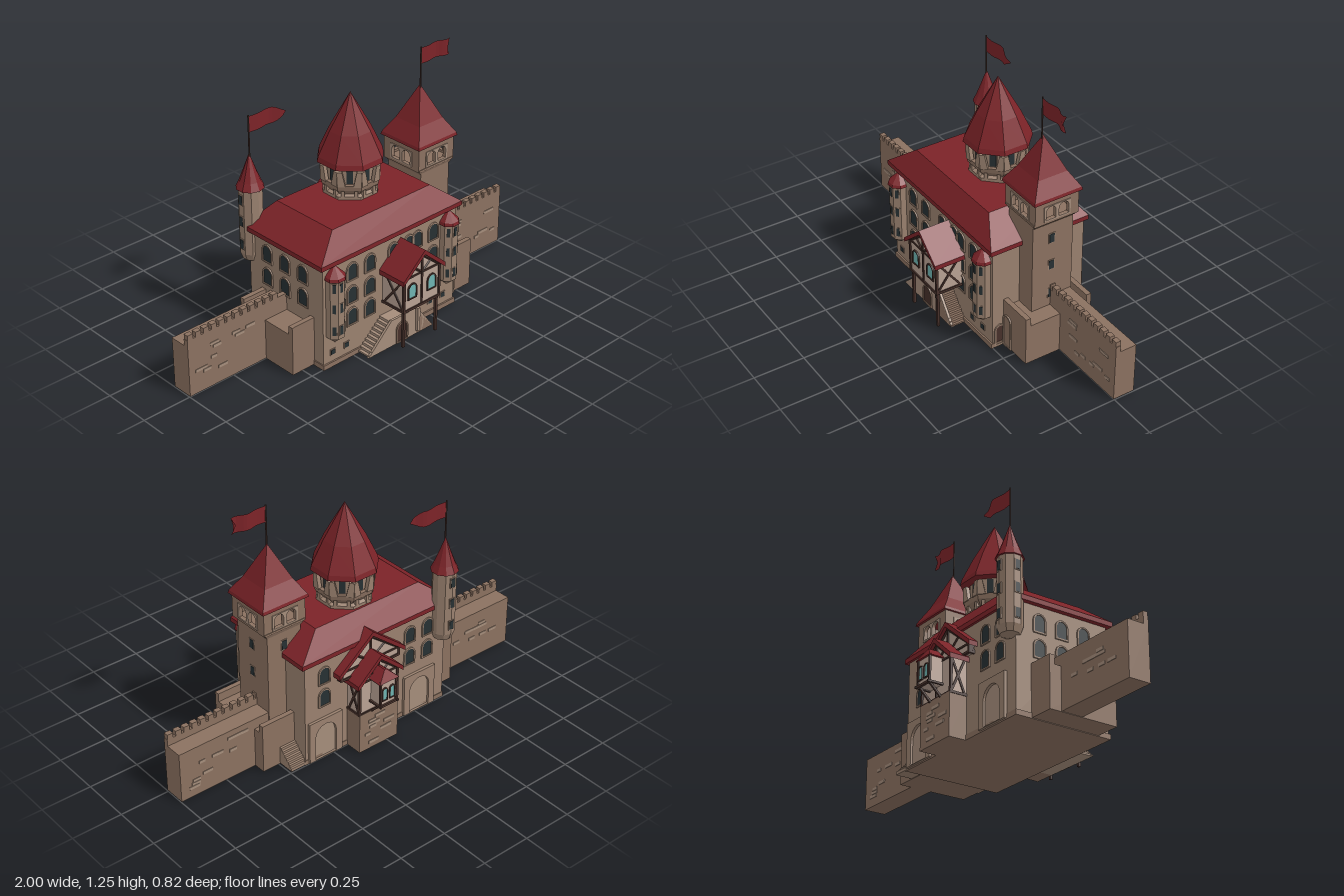
import * as THREE from 'three';

const WALL = 0x9a816f, BASE = 0x8b7160, LIGHT = 0xa58d7b, ROOF = 0x7c2328, WOOD = 0x46302a,
  PLASTER = 0xb9a294, DARK = 0x273033, TEAL = 0x6fb3b0;
const mats = {};
const mat = (c) => (mats[c] ??= new THREE.MeshStandardMaterial({ color: c, flatShading: true, side: THREE.DoubleSide }));

function add(parent, name, geo, color, x = 0, y = 0, z = 0) {
  const m = new THREE.Mesh(geo, mat(color));
  m.name = name;
  m.position.set(x, y, z);
  parent.add(m);
  return m;
}
function sub(parent, name, x, y, z, ry = 0) {
  const g = new THREE.Group();
  g.name = name;
  g.position.set(x, y, z);
  g.rotation.y = ry;
  parent.add(g);
  return g;
}
// box given by its limits
const block = (p, name, c, x0, x1, y0, y1, z0, z1) => add(p, name,
  new THREE.BoxGeometry(x1 - x0, y1 - y0, z1 - z0), c, (x0 + x1) / 2, (y0 + y1) / 2, (z0 + z1) / 2);
// box whose top is scaled to a smaller rectangle
function hip(w, h, d, tw, td) {
  const g = new THREE.BoxGeometry(w, h, d), p = g.attributes.position;
  for (let i = 0; i < p.count; i++) if (p.getY(i) > 0) { p.setX(i, p.getX(i) * tw / w); p.setZ(i, p.getZ(i) * td / d); }
  return g;
}
function beam(p, a, b, t = 0.012) {
  const A = new THREE.Vector3(...a), B = new THREE.Vector3(...b), dir = B.clone().sub(A).normalize();
  const m = add(p, 'timber', new THREE.BoxGeometry(t, t, A.distanceTo(B) + t * 0.6), WOOD);
  m.position.copy(A).add(B).multiplyScalar(0.5);
  m.quaternion.setFromUnitVectors(new THREE.Vector3(0, 0, 1), dir);
}
const poly = (pts) => new THREE.Shape(pts.map(([x, y]) => new THREE.Vector2(x, y)));
const extrude = (s, depth) => new THREE.ExtrudeGeometry(s, { depth, bevelEnabled: false, curveSegments: 6 });
const lathe = (pts, n) => new THREE.LatheGeometry(pts.map(([r, y]) => new THREE.Vector2(r, y)), n);

function arch(w, h, x = 0, y = 0, C = THREE.Shape) {
  const s = new C(), r = w / 2;
  s.moveTo(x - r, y);
  s.lineTo(x + r, y);
  s.lineTo(x + r, y + h - r);
  s.absarc(x, y + h - r, r, 0, Math.PI, false);
  s.lineTo(x - r, y);
  return s;
}
// framed arched opening, origin at the sill, facing ry
function arched(p, name, x, y, z, ry, w, h, pane = DARK, frame = WALL, t = 0.007, deep = 0.007) {
  const g = sub(p, name, x, y, z, ry), f = arch(w + 2 * t, h + 2 * t, 0, -t);
  f.holes.push(arch(w, h, 0, 0, THREE.Path));
  add(g, 'frame', extrude(f, deep), frame);
  add(g, 'pane', new THREE.ShapeGeometry(arch(w, h), 6), pane, 0, 0, 0.003);
}
function slit(p, x, y, z, ry, w = 0.026, h = 0.045) {
  const g = sub(p, 'smallWindow', x, y, z, ry);
  add(g, 'frame', new THREE.BoxGeometry(w + 0.008, h + 0.008, 0.006), WALL);
  add(g, 'pane', new THREE.BoxGeometry(w, h, 0.009), DARK);
}
// gabled body with chevron roof, wall at z = 0, gable facing +z
function gable(p, hw, y0, y1, peak, d, over) {
  add(p, 'plasterWalls', extrude(poly([[-hw, y0], [hw, y0], [hw, y1], [0, peak], [-hw, y1]]), d), PLASTER);
  const s = (peak - y1) / hw, e = hw + over, t = 0.024, ye = peak - s * e;
  add(p, 'gableRoof', extrude(poly([[-e, ye], [0, peak], [e, ye], [e, ye + t], [0, peak + t], [-e, ye + t]]), d + 0.14), ROOF, 0, 0, -0.12);
  for (const m of [-1, 1]) {
    beam(p, [m * hw, y0, d], [m * hw, y1, d]);
    beam(p, [m * hw, y1, d], [0, peak - 0.008, d]);
    beam(p, [m * hw * 0.5, y1 + (peak - y1) * 0.45, d], [0, y1, d], 0.009);
    beam(p, [m * hw, y0, 0], [m * hw, y0, d]);
    beam(p, [m * hw, y1, 0], [m * hw, y1, d]);
    beam(p, [m * hw, y0, 0.01], [m * hw, y1, d], 0.01);
    beam(p, [m * hw, y1, 0.01], [m * hw, y0, d], 0.01);
  }
  beam(p, [-hw, y0, d], [hw, y0, d]);
  beam(p, [-hw, y1, d], [hw, y1, d], 0.009);
  beam(p, [0, y0, d], [0, peak - 0.01, d], 0.01);
}
// waving flag; tip > 0 gives a point, tip < 0 a notch
function flag(p, x, y, z, poleBottom, len, tip) {
  add(p, 'flagPole', new THREE.CylinderGeometry(0.004, 0.004, y + 0.045 - poleBottom, 6), WOOD, x, (y + 0.045 + poleBottom) / 2, z);
  const g = new THREE.PlaneGeometry(len, 0.08, 12, 2), a = g.attributes.position;
  for (let i = 0; i < a.count; i++) {
    const u = a.getX(i) / len + 0.5, v = Math.abs(a.getY(i)) / 0.04;
    if (tip > 0 && u > 0.7) a.setY(i, a.getY(i) * (1 - (u - 0.7) / 0.32));
    if (tip < 0 && u > 0.95) a.setX(i, a.getX(i) + tip * (1 - v));
    a.setZ(i, 0.014 * Math.sin(u * 9) * u);
  }
  add(p, 'flag', g, ROOF, x + len / 2, y, z);
}

export function createModel() {
  const root = new THREE.Group();
  let seed = 7;
  const rnd = () => (seed = (seed * 16807) % 2147483647) / 2147483647;
  // scattered raised stones on a wall area facing +z or -z
  const stones = (n, x0, x1, y0, y1, z) => {
    for (let i = 0; i < n; i++) add(root, 'stone', new THREE.BoxGeometry(0.03 + rnd() * 0.04, 0.015, 0.006), LIGHT,
      x0 + rnd() * (x1 - x0), y0 + Math.round(rnd() * (y1 - y0) / 0.017) * 0.017, z);
  };

  // main house
  block(root, 'houseWalls', WALL, -0.43, 0.41, 0.01, 0.55, -0.245, 0.25);
  block(root, 'plinth', BASE, -0.435, 0.415, 0.005, 0.03, -0.248, 0.258);
  block(root, 'eaves', ROOF, -0.455, 0.43, 0.537, 0.56, -0.257, 0.27);
  add(root, 'mainRoof', hip(0.885, 0.105, 0.527, 0.61, 0.37), ROOF, -0.0125, 0.6125, 0.0065);
  for (const y of [0.18, 0.295, 0.415]) {
    for (const x of [-0.255, -0.145, 0.155, 0.26]) arched(root, 'frontWindow', x, y, 0.25, 0, 0.055, 0.08);
    if (y > 0.2) for (const x of [-0.32, -0.21, 0.3]) arched(root, 'backWindow', x, y, -0.245, Math.PI, 0.055, 0.08);
    if (y > 0.2) for (const z of [-0.12, 0, 0.12]) arched(root, 'sideWindow', -0.43, y, z, -Math.PI / 2, 0.055, 0.08);
  }
  for (const x of [0, 0.1]) arched(root, 'frontWindow', x, 0.415, 0.25, 0, 0.05, 0.08);
  for (const x of [-0.375, -0.29, 0.25, 0.335]) slit(root, x, 0.08, 0.251, 0, 0.024, 0.024);
  arched(root, 'sideDoor', 0.41, 0.02, 0.21, Math.PI / 2, 0.045, 0.1, WOOD);
  // square-framed arched portals on the back
  for (const x of [-0.27, 0.3]) {
    const g = sub(root, 'backPortal', x, 0.012, -0.245, Math.PI);
    const s = poly([[-0.095, 0], [0.095, 0], [0.095, 0.215], [-0.095, 0.215]]);
    s.holes.push(arch(0.12, 0.18, 0, 0.004, THREE.Path));
    add(g, 'surround', extrude(s, 0.014), WALL);
    add(g, 'recess', new THREE.ShapeGeometry(arch(0.12, 0.18), 6), LIGHT, 0, 0, 0.003);
  }

  // corner oriels on the front
  for (const x of [-0.37, 0.352]) {
    const g = sub(root, 'cornerOriel', x, 0, 0.262);
    add(g, 'shaft', lathe([[0, 0.135], [0.047, 0.175], [0.047, 0.485]], 8).rotateY(Math.PI / 8), WALL);
    add(g, 'roof', lathe([[0, 0.475], [0.054, 0.475], [0.05, 0.49], [0, 0.54]], 8).rotateY(Math.PI / 8), ROOF);
    for (const y of [0.22, 0.335, 0.44]) for (const a of [-1, 0, 1])
      slit(g, Math.sin(a * Math.PI / 4) * 0.042, y, Math.cos(a * Math.PI / 4) * 0.042, a * Math.PI / 4, 0.016, 0.045);
  }

  // front timber bay on posts
  const bay = sub(root, 'frontBay', 0.05, 0, 0.25);
  gable(bay, 0.112, 0.215, 0.385, 0.483, 0.138, 0.022);
  for (const m of [-1, 1]) {
    arched(bay, 'bayWindow', m * 0.062, 0.275, 0.138, 0, 0.045, 0.07, TEAL, WOOD, 0.006);
    beam(bay, [m * 0.105, 0.025, 0.13], [m * 0.105, 0.215, 0.13], 0.013);
  }
  // front stair: landing over a cellar door, flights to both sides
  const stair = sub(root, 'frontStair', 0, 0, 0);
  block(stair, 'landing', LIGHT, -0.08, 0.08, 0.01, 0.14, 0.25, 0.33);
  arched(stair, 'cellarDoor', -0.015, 0.02, 0.33, 0, 0.06, 0.095, WOOD, BASE);
  for (let i = 0; i < 9; i++) {
    const y = 0.14 - (i + 1) * 0.0135;
    block(stair, 'step', LIGHT, -0.08 - (i + 1) * 0.0155, -0.08 - i * 0.0155, 0.01, y, 0.25, 0.33);
    block(stair, 'step', BASE, 0.08 + i * 0.012, 0.08 + (i + 1) * 0.012, 0.01, y, 0.25, 0.33);
  }
  add(stair, 'stairWall', extrude(poly([[-0.225, 0.01], [0.19, 0.01], [0.085, 0.15], [-0.08, 0.15]]), 0.012), LIGHT, 0, 0, 0.318);
  block(stair, 'newel', LIGHT, 0.075, 0.091, 0.03, 0.155, 0.325, 0.345);

  // back: wide gable, timber bay on a stone base, small hipped oriel
  const backGable = sub(root, 'backGable', 0.05, 0, -0.235, Math.PI);
  gable(backGable, 0.17, 0.4, 0.44, 0.578, 0.035, 0.025);
  const backBay = sub(root, 'backBay', 0.05, 0, -0.245, Math.PI);
  gable(backBay, 0.112, 0.215, 0.385, 0.483, 0.083, 0.022);
  block(backBay, 'stoneBase', BASE, -0.115, 0.115, 0.005, 0.215, 0, 0.09);
  block(backBay, 'orielWalls', PLASTER, -0.045, 0.045, 0.27, 0.395, 0.08, 0.15);
  add(backBay, 'orielRoof', hip(0.115, 0.05, 0.12, 0.01, 0.06), ROOF, 0, 0.42, 0.1);
  for (const m of [-1, 1]) {
    arched(backBay, 'orielWindow', m * 0.022, 0.3, 0.15, 0, 0.024, 0.06, TEAL, WOOD, 0.005);
    beam(backBay, [m * 0.045, 0.265, 0.15], [m * 0.045, 0.4, 0.15], 0.01);
    beam(backBay, [m * 0.05, 0.27, 0.085], [m * 0.05, 0.27, 0.16], 0.01);
    beam(backBay, [m * 0.04, 0.215, 0.09], [m * 0.04, 0.27, 0.145], 0.01);
  }
  beam(backBay, [-0.05, 0.27, 0.153], [0.05, 0.27, 0.153]);
  stones(9, -0.03, 0.13, 0.04, 0.19, -0.335);

  // central battlemented tower
  const keep = sub(root, 'centralTower', 0.012, 0, -0.043);
  const turn = Math.PI / 8;
  add(keep, 'drum', lathe([[0.135, 0.64], [0.135, 0.68], [0.115, 0.69], [0.115, 0.84]], 8).rotateY(turn), WALL);
  add(keep, 'gallery', lathe([[0.115, 0.685], [0.14, 0.715], [0.144, 0.74], [0.13, 0.74], [0.115, 0.735]], 8).rotateY(turn), BASE);
  add(keep, 'spire', lathe([[0, 0.825], [0.162, 0.825], [0.156, 0.85], [0.1, 0.97], [0, 1.15]], 8).rotateY(turn), ROOF);
  for (let i = 0; i < 8; i++) {
    const face = sub(keep, 'towerFace', 0, 0, 0, i * Math.PI / 4);
    slit(face, 0, 0.78, 0.107, 0, 0.03, 0.08);
    for (const m of [-1, 1]) {
      const merlon = poly([[m * 0.018, 0.735], [m * 0.054, 0.735], [m * 0.058, 0.81], [m * 0.034, 0.81]]);
      add(face, 'merlon', extrude(merlon, 0.02), WALL, 0, 0, 0.117);
      block(face, 'corbel', WALL, m * 0.03 - 0.008, m * 0.03 + 0.008, 0.67, 0.71, 0.105, 0.127);
    }
  }

  // square tower with open belfry
  const tower = sub(root, 'squareTower', 0.417, 0, -0.005);
  block(tower, 'shaft', BASE, -0.095, 0.092, 0.01, 0.69, -0.105, 0.11);
  add(tower, 'flare', hip(0.225, 0.025, 0.235, 0.19, 0.215).rotateX(Math.PI), BASE, 0, 0.682, 0);
  block(tower, 'belfryFloor', BASE, -0.112, 0.112, 0.69, 0.7, -0.118, 0.118);
  for (let i = 0; i < 4; i++) {
    const g = sub(tower, 'belfryWall', 0, 0, 0, i * Math.PI / 2), s = poly([[-0.115, 0.69], [0.115, 0.69], [0.115, 0.82], [-0.115, 0.82]]);
    for (const m of [-1, 1]) s.holes.push(arch(0.052, 0.07, m * 0.034, 0.712, THREE.Path));
    add(g, 'wall', extrude(s, 0.015), BASE, 0, 0, 0.1);
    const f = poly([[-0.07, 0.704], [0.07, 0.704], [0.07, 0.782], [-0.07, 0.782]]);
    for (const m of [-1, 1]) f.holes.push(arch(0.052, 0.066, m * 0.034, 0.712, THREE.Path));
    add(g, 'windowSurround', extrude(f, 0.005), LIGHT, 0, 0, 0.114);
  }
  add(tower, 'roof', lathe([[0, 0.81], [0.18, 0.81], [0.175, 0.825], [0.11, 0.9], [0, 1.07]], 4).rotateY(Math.PI / 4), ROOF);
  for (const y of [0.285, 0.44, 0.585]) slit(tower, 0.091, y, 0.008, Math.PI / 2);
  slit(tower, 0, 0.6, -0.105, Math.PI);
  flag(root, 0.415, 1.213, 0, 1.04, 0.18, -0.025);

  // round corner turret at the back
  const turret = sub(root, 'backTurret', -0.406, 0, -0.258);
  add(turret, 'shaft', lathe([[0, 0.36], [0.045, 0.375], [0.058, 0.41], [0.058, 0.75]], 10), WALL);
  add(turret, 'roof', lathe([[0, 0.738], [0.067, 0.738], [0.05, 0.775], [0.027, 0.835], [0, 0.91]], 10), ROOF);
  for (const y of [0.46, 0.58, 0.69]) for (const a of [Math.PI, -Math.PI / 2]) slit(turret, Math.sin(a) * 0.056, y, Math.cos(a) * 0.056, a, 0.022);
  flag(root, -0.406, 1.05, -0.255, 0.88, 0.212, 0.02);

  // flanking bastions with parapets
  for (const [x0, x1] of [[-0.56, -0.42], [0.4, 0.59]]) {
    block(root, 'bastion', BASE, x0, x1, 0.008, 0.215, -0.165, 0.19);
    for (const z of [-0.165, 0.165]) block(root, 'bastionParapet', BASE, x0, x1, 0.2, 0.258, z, z + 0.025);
  }
  arched(root, 'bastionArch', 0.445, 0.015, 0.19, 0, 0.05, 0.165, BASE, WALL);
  for (let i = 0; i < 7; i++) block(root, 'backStep', WALL, 0.41, 0.495, 0.01, 0.1 - i * 0.0125, -0.177 - i * 0.012, -0.165 - i * 0.012);

  // curtain walls with crenellated front parapet
  for (const m of [-1, 1]) {
    const [a, b] = m < 0 ? [-1, -0.43] : [0.42, 1];
    block(root, 'curtainWall', BASE, a, b, 0.01, 0.268, -0.105, 0.005);
    block(root, 'parapet', BASE, a, b, 0.26, 0.302, -0.02, 0.005);
    for (let i = 0; i < 12; i++) {
      const x = m * (0.983 - i * 0.044);
      block(root, 'merlon', BASE, x - 0.015, x + 0.015, 0.3, 0.327, -0.02, 0.005);
    }
    const [s, e] = m < 0 ? [-0.95, -0.62] : [0.65, 0.95];
    stones(9, s, e, 0.06, 0.24, 0.005);
    stones(9, s, e, 0.06, 0.24, -0.105);
  }
  return root;
}
